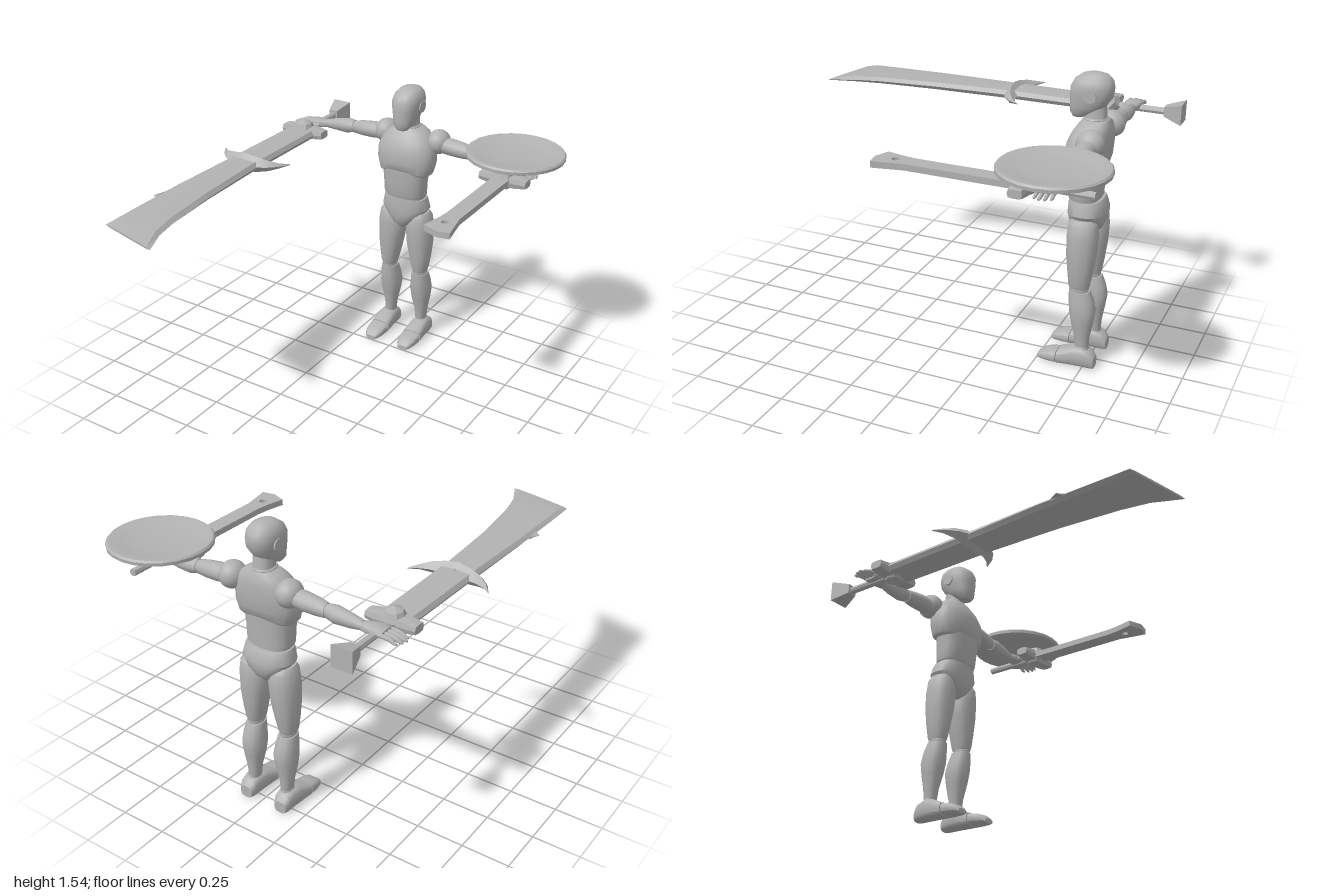
import * as THREE from 'three';
import { toCreasedNormals } from 'three/addons/utils/BufferGeometryUtils.js';

const CX = -0.025; // body centre line

// Closed loft through superellipse sections [t, c1, c2, r1, r2] along an axis.
// Perpendicular pairs: x -> (y, z), y -> (z, x), z -> (x, y).
function loft(axis, sections, { seg = 16, power = 2, warp } = {}) {
  const rows = sections.slice().sort((a, b) => a[0] - b[0]);
  const pos = [], idx = [];
  const put = (t, u, v) => {
    const p = axis === 'x' ? new THREE.Vector3(t, u, v)
      : axis === 'y' ? new THREE.Vector3(v, t, u) : new THREE.Vector3(u, v, t);
    if (warp) warp(p);
    pos.push(p.x, p.y, p.z);
  };
  const se = (c) => Math.sign(c) * Math.pow(Math.abs(c), 2 / power);
  for (const [t, c1, c2, r1, r2] of rows) {
    for (let j = 0; j < seg; j++) {
      const a = (j / seg) * Math.PI * 2;
      put(t, c1 + r1 * se(Math.cos(a)), c2 + r2 * se(Math.sin(a)));
    }
  }
  const last = rows.length - 1, bottom = rows.length * seg, top = bottom + 1;
  put(rows[0][0], rows[0][1], rows[0][2]);
  put(rows[last][0], rows[last][1], rows[last][2]);
  for (let j = 0; j < seg; j++) {
    const k = (j + 1) % seg;
    for (let i = 0; i < last; i++) {
      const a = i * seg + j, b = i * seg + k, c = b + seg, d = a + seg;
      idx.push(a, b, c, a, c, d);
    }
    idx.push(bottom, k, j, top, last * seg + j, last * seg + k);
  }
  const g = new THREE.BufferGeometry();
  g.setAttribute('position', new THREE.Float32BufferAttribute(pos, 3));
  g.setIndex(idx);
  return g;
}

export function createModel() {
  const root = new THREE.Group();
  root.name = 'armedMannequin';
  const grey = new THREE.MeshStandardMaterial({ color: 0xb2b2b2 });
  grey.name = 'plain grey';

  const add = (parent, name, geo, crease = 0.65) => {
    const m = new THREE.Mesh(toCreasedNormals(geo, crease), grey);
    m.name = name;
    parent.add(m);
    return m;
  };
  const ball = (x, y, z, rx, ry, rz, w = 16, h = 12) =>
    new THREE.SphereGeometry(1, w, h).scale(rx, ry, rz).translate(x, y, z);

  // Head, neck and trunk: [y, z, x, rz, rx]
  const trunk = (name, rows, opt) =>
    add(root, name, loft('y', rows.map(([y, z, rz, rx]) => [y, z, CX, rz, rx]), { seg: 20, power: 2.4, ...opt }));
  trunk('head', [[1.312, -0.63, 0.028, 0.03], [1.335, -0.65, 0.06, 0.052], [1.37, -0.675, 0.086, 0.064],
    [1.42, -0.692, 0.105, 0.075], [1.465, -0.695, 0.106, 0.08], [1.5, -0.7, 0.094, 0.072],
    [1.525, -0.705, 0.066, 0.052], [1.537, -0.706, 0.03, 0.024]]);
  trunk('neck', [[1.26, -0.72, 0.062, 0.058], [1.31, -0.717, 0.056, 0.05], [1.38, -0.71, 0.055, 0.048]]);
  add(root, 'neckCollar', new THREE.TorusGeometry(0.054, 0.008, 6, 20).rotateX(Math.PI / 2).translate(CX, 1.312, -0.717));
  trunk('chest', [[1.05, -0.69, 0.088, 0.145], [1.06, -0.69, 0.096, 0.157], [1.12, -0.693, 0.104, 0.172],
    [1.19, -0.697, 0.106, 0.17], [1.245, -0.708, 0.094, 0.147], [1.285, -0.718, 0.078, 0.112],
    [1.31, -0.722, 0.062, 0.068]], {
    warp: (p) => { // arched lower rim of the ribcage
      if (p.y < 1.08) p.y += 0.025 * Math.max(0, 1 - ((p.x - CX) / 0.12) ** 2);
    },
  });
  trunk('abdomen', [[0.91, -0.69, 0.08, 0.12], [0.93, -0.687, 0.083, 0.125], [1.0, -0.684, 0.087, 0.127],
    [1.075, -0.684, 0.09, 0.137]]);
  trunk('waistJoint', [[0.88, -0.69, 0.075, 0.112], [0.93, -0.69, 0.075, 0.112]]);
  trunk('pelvis', [[0.715, -0.7, 0.05, 0.02], [0.745, -0.7, 0.08, 0.062], [0.79, -0.705, 0.094, 0.11],
    [0.835, -0.705, 0.097, 0.139], [0.88, -0.7, 0.09, 0.129], [0.9, -0.695, 0.084, 0.122]]);

  for (const s of [1, -1]) {
    const side = s > 0 ? 'left' : 'right';
    const ear = new THREE.CylinderGeometry(0.032, 0.032, 0.012, 16).rotateZ(Math.PI / 2);
    add(root, side + 'Ear', ear.translate(CX + s * 0.076, 1.435, -0.705));

    // Leg: [y, z, offset, rz, rx]
    const leg = new THREE.Group();
    leg.name = side + 'Leg';
    const upright = (name, rows) => add(leg, name,
      loft('y', rows.map(([y, z, d, rz, rx]) => [y, z, CX + s * d, rz, rx]), { seg: 12, power: 2.3 }));
    upright('thigh', [[0.44, -0.705, 0.1, 0.05, 0.04], [0.46, -0.705, 0.1, 0.056, 0.046], [0.53, -0.707, 0.097, 0.066, 0.059],
      [0.62, -0.708, 0.092, 0.077, 0.072], [0.72, -0.708, 0.088, 0.081, 0.077], [0.79, -0.707, 0.092, 0.074, 0.062],
      [0.815, -0.705, 0.098, 0.055, 0.04]]);
    add(leg, 'knee', ball(CX + s * 0.1, 0.433, -0.706, 0.04, 0.035, 0.05));
    upright('shin', [[0.105, -0.735, 0.102, 0.036, 0.03], [0.17, -0.733, 0.102, 0.041, 0.036], [0.25, -0.73, 0.1, 0.058, 0.052],
      [0.315, -0.728, 0.099, 0.069, 0.059], [0.37, -0.72, 0.1, 0.066, 0.053], [0.425, -0.708, 0.1, 0.055, 0.045]]);
    add(leg, 'ankle', ball(CX + s * 0.104, 0.1, -0.735, 0.033, 0.03, 0.038));
    // Foot: [z, height, half width]
    const sole = (name, rows) => add(leg, name,
      loft('z', rows.map(([z, h, rx]) => [z, CX + s * 0.108, h / 2, rx, h / 2]), { seg: 16, power: 3 }));
    sole('foot', [[-0.808, 0.065, 0.035], [-0.785, 0.095, 0.046], [-0.74, 0.112, 0.05], [-0.69, 0.105, 0.053], [-0.615, 0.072, 0.058]]);
    sole('toes', [[-0.61, 0.068, 0.057], [-0.56, 0.058, 0.053], [-0.525, 0.045, 0.044], [-0.505, 0.025, 0.03]]);
    root.add(leg);

    // Arm: [distance, y, z, ry, rz]
    const arm = new THREE.Group();
    arm.name = side + 'Arm';
    const level = (name, rows, opt) => add(arm, name,
      loft('x', rows.map(([d, ...r]) => [CX + s * d, ...r]), { seg: 12, ...opt }));
    add(arm, 'shoulder', ball(CX + s * 0.165, 1.236, -0.748, 0.064, 0.068, 0.072));
    level('upperArm', [[0.19, 1.225, -0.745, 0.043, 0.048], [0.25, 1.222, -0.745, 0.046, 0.05],
      [0.32, 1.217, -0.745, 0.043, 0.043], [0.37, 1.213, -0.745, 0.036, 0.034]]);
    add(arm, 'elbow', ball(CX + s * 0.373, 1.213, -0.745, 0.025, 0.032, 0.03));
    level('forearm', [[0.377, 1.213, -0.745, 0.036, 0.034], [0.42, 1.21, -0.745, 0.043, 0.042],
      [0.5, 1.203, -0.743, 0.034, 0.033], [0.555, 1.197, -0.738, 0.024, 0.024]]);
    level('palm', [[0.545, 1.196, -0.738, 0.02, 0.022], [0.58, 1.195, -0.733, 0.023, 0.037],
      [0.63, 1.195, -0.727, 0.024, 0.047], [0.67, 1.193, -0.727, 0.018, 0.046]], { power: 2.6 });
    for (let i = 0; i < 4; i++) {
      const z = -0.764 + i * 0.025, end = [0.745, 0.76, 0.766, 0.755][i];
      level('finger', [[0.66, 1.194, z, 0.011, 0.01], [0.71, 1.19, z, 0.012, 0.01],
        [end - 0.015, 1.18, z, 0.01, 0.009], [end, 1.176, z, 0.005, 0.005]], { seg: 8 });
    }
    level('thumb', [[0.585, 1.192, -0.7, 0.012, 0.012], [0.63, 1.186, -0.682, 0.013, 0.012],
      [0.675, 1.178, -0.676, 0.01, 0.009], [0.69, 1.175, -0.676, 0.005, 0.005]], { seg: 8 });
    root.add(arm);
  }

  // Grip, crossbar and faceted hub shared by both weapons
  const hilt = (group, x, back) => {
    const len = back + 0.98 - 0.38;
    add(group, 'grip', new THREE.CylinderGeometry(0.019, 0.019, len, 8)
      .rotateX(Math.PI / 2).translate(x, 1.18, -0.6 - len / 2));
    add(group, 'crossbar', loft('x', [[x - 0.132, 1.182, -0.603, 0.022, 0.036], [x - 0.07, 1.182, -0.603, 0.032, 0.043],
      [x + 0.07, 1.182, -0.603, 0.032, 0.043], [x + 0.132, 1.182, -0.603, 0.022, 0.036]], { seg: 8, power: 4 }), 0.3);
    add(group, 'hub', ball(x, 1.188, -0.598, 0.062, 0.064, 0.064, 8, 4), 0.2);
  };

  // Great sword in the right hand
  const sword = new THREE.Group();
  sword.name = 'greatSword';
  hilt(sword, -0.65, -0.29);
  add(sword, 'pommel', new THREE.CylinderGeometry(0.078, 0.036, 0.1, 4)
    .rotateY(Math.PI / 4).rotateX(-Math.PI / 2).translate(-0.652, 1.183, -0.95), 0.2);
  // Blade: [z, left edge, right edge, half thickness]
  const edge = [[-0.58, -0.735, -0.565, 0.026], [0, -0.743, -0.563, 0.027], [0.4, -0.758, -0.537, 0.024],
    [0.714, -0.76, -0.5, 0.021], [0.86, -0.76, -0.468, 0.019], [0.957, -0.76, -0.405, 0.006]];
  add(sword, 'blade', loft('z', edge.map(([z, a, b, h]) => [z, (a + b) / 2, 1.181, (b - a) / 2, h]), {
    seg: 8, power: 4,
    warp: (p) => { if (p.z > 0.95) p.z += 0.24 * (p.x + 0.5825); }, // slanted end
  }), 0.2);
  add(sword, 'bladeBarb', loft('z', [[0.48, -0.757, 1.181, 0.003, 0.008], [0.535, -0.768, 1.181, 0.022, 0.008],
    [0.56, -0.757, 1.181, 0.003, 0.008]], { seg: 4 }), 0.2);
  // Crescent: [offset, z, half height, half depth]
  const horn = [[0.218, -0.15, 0.002, 0.002], [0.18, -0.105, 0.014, 0.018], [0.13, -0.072, 0.03, 0.032],
    [0.065, -0.054, 0.044, 0.043]];
  const crescent = [...horn.map((r) => [-r[0], ...r.slice(1)]), [0, -0.05, 0.053, 0.048], ...horn];
  add(sword, 'crescentGuard', loft('x', crescent.map(([d, z, ry, rz]) => [-0.652 + d, 1.182, z, ry, rz]), { seg: 4 }), 0.3);
  add(sword, 'guardSpike', new THREE.ConeGeometry(0.022, 0.06, 4).rotateX(-Math.PI / 2).translate(-0.652, 1.195, -0.11), 0.2);
  root.add(sword);

  // Straight narrow blade with a pierced, flared end in the left hand
  const shortBlade = new THREE.Group();
  shortBlade.name = 'narrowBlade';
  hilt(shortBlade, 0.607, -0.27);
  const outline = new THREE.Shape([[0.56, -0.58], [0.648, -0.58], [0.648, -0.02], [0.658, 0.03], [0.679, 0.138],
    [0.61, 0.15], [0.53, 0.12], [0.552, 0.02], [0.56, -0.05]].map(([x, z]) => new THREE.Vector2(x, z)));
  outline.holes.push(new THREE.Path().absarc(0.603, 0.043, 0.019, 0, Math.PI * 2, true));
  add(shortBlade, 'piercedBlade', new THREE.ExtrudeGeometry(outline, { depth: 0.032, bevelEnabled: false, curveSegments: 8 })
    .rotateX(Math.PI / 2).translate(0, 1.197, 0));
  root.add(shortBlade);

  // Round dished shield over the left hand
  const profile = [[0, 0], [0.245, 0], [0.262, 0.008], [0.263, 0.024], [0.255, 0.033], [0.235, 0.033], [0.197, 0.022],
    [0.12, 0.015], [0, 0.012]].map(([r, y]) => new THREE.Vector2(r, y));
  add(root, 'roundShield', new THREE.LatheGeometry(profile, 24).translate(0.603, 1.256, -0.733), 0.4);

  return root;
}
